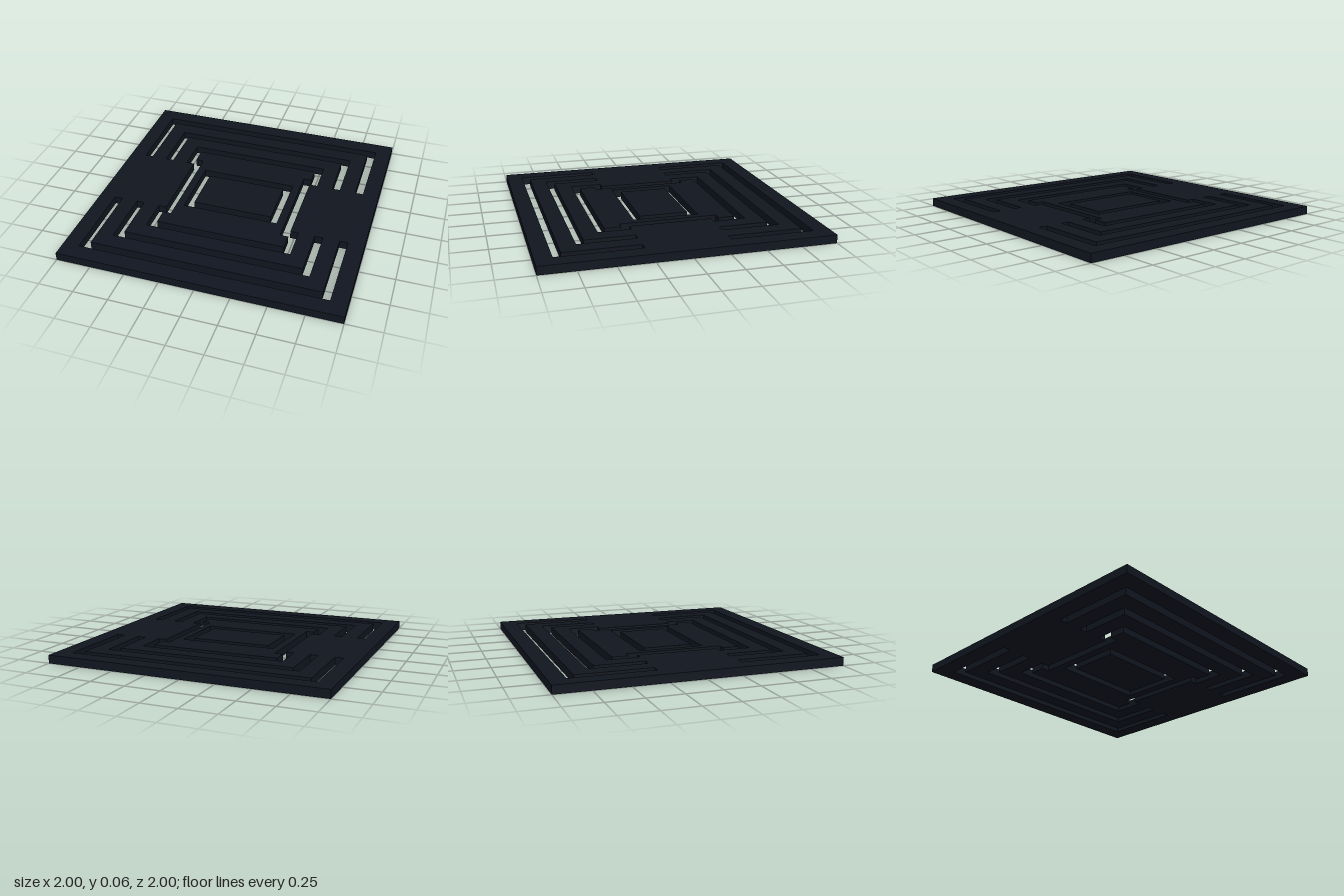
import * as THREE from 'three';

const U = 1 / 17; // one module of the layout; also the plate thickness

const points = (list) => list.map(([x, z]) => new THREE.Vector2(x * U, z * U));
const rectangle = (x, z) => [[-x, -z], [x, -z], [x, z], [-x, z]];
const flipZ = (list) => list.map(([x, z]) => [x, -z]).reverse();

// Point-symmetric outline: the +z half followed by its half turn
const halfTurn = (half) => [...half, ...half.map(([x, z]) => [-x, -z])];

// U-shaped slot, one module wide, running around the +z half of the plate
const slot = (r) => [
  [-r, 5], [-r + 1, 5], [-r + 1, r - 1], [r - 1, r - 1],
  [r - 1, 5], [r, 5], [r, r], [-r, r],
];

export function createModel() {
  const group = new THREE.Group();
  const material = new THREE.MeshStandardMaterial({ color: 0x10151f });

  function addPlate(name, outline, holes = []) {
    const shape = new THREE.Shape(points(outline));
    for (const hole of holes) shape.holes.push(new THREE.Path(points(hole)));
    const geometry = new THREE.ExtrudeGeometry(shape, { depth: U, bevelEnabled: false });
    geometry.rotateX(-Math.PI / 2);
    const mesh = new THREE.Mesh(geometry, material);
    mesh.name = name;
    group.add(mesh);
  }

  // Square frame with two nested slots on each side and a stepped central opening
  const opening = halfTurn([[8, 5], [9, 5], [9, 9], [-9, 9], [-9, 5], [-8, 5]]);
  const slots = [15, 12].flatMap((r) => [slot(r), flipZ(slot(r))]);
  addPlate('outerFrame', rectangle(17, 17), [opening, ...slots]);

  // Waisted ring with wider bars at both ends
  const ring = halfTurn([[7, 6], [8, 6], [8, 8], [-8, 8], [-8, 6], [-7, 6]]);
  addPlate('innerRing', ring, [rectangle(6, 4)]);

  // Solid centre block
  addPlate('centreBlock', rectangle(5, 3));

  return group;
}
